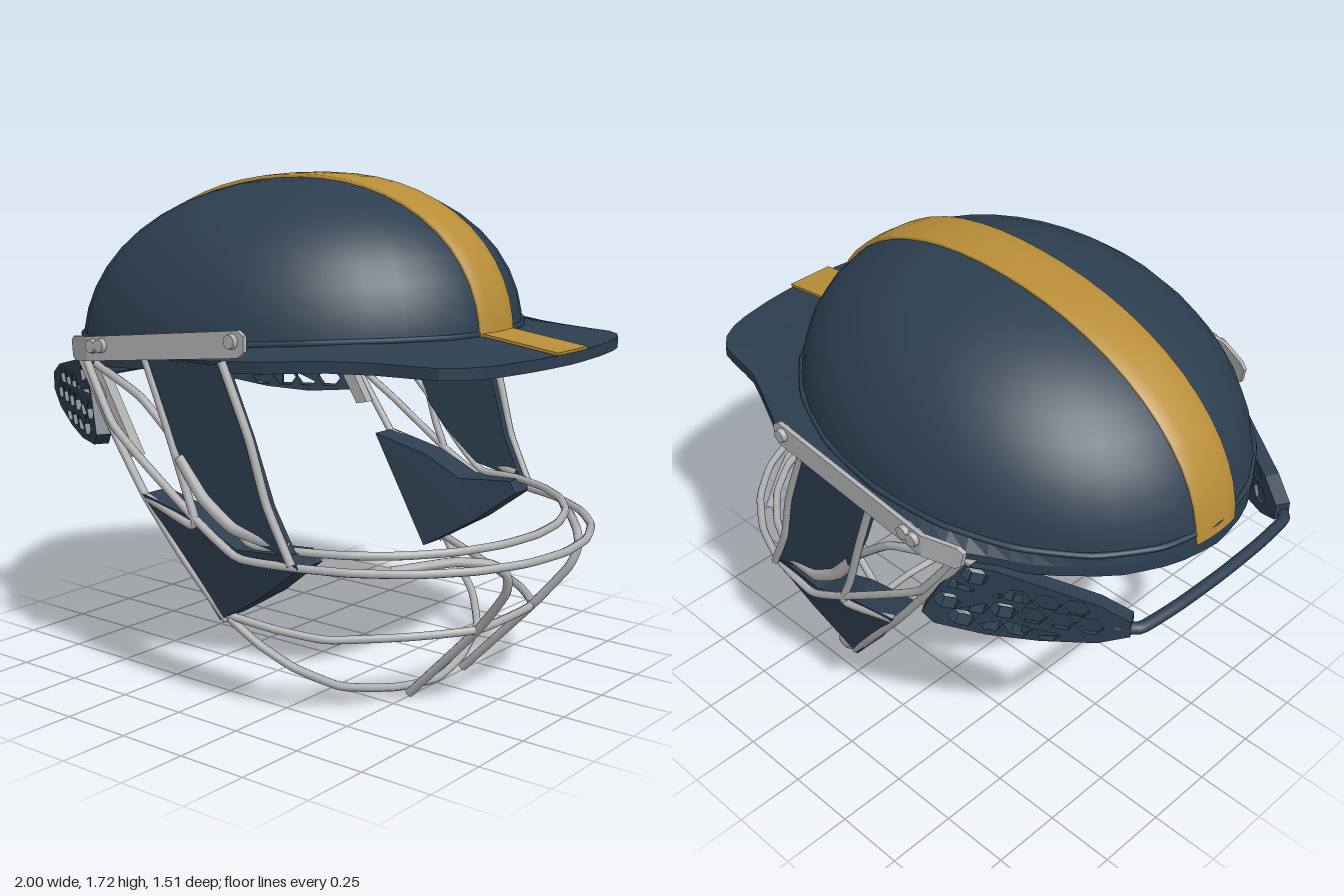
import * as THREE from 'three';

const mat = (name, color, side = THREE.FrontSide) => {
  const m = new THREE.MeshStandardMaterial({ color, side });
  m.name = name;
  return m;
};

export function createModel() {
  const root = new THREE.Group();
  root.name = 'cricketHelmet';
  const navy = mat('navy', 0x2c3e50, THREE.DoubleSide);
  const gold = mat('gold', 0xb78d37, THREE.DoubleSide);
  const steel = mat('steel', 0xb0b0b0);

  const add = (name, geo, material) => {
    const mesh = new THREE.Mesh(geo, material);
    mesh.name = name;
    root.add(mesh);
  };
  // Adds a part on the +z side and its reflection on the -z side
  const addPair = (name, geo, material) => {
    add(name + 'Left', geo, material);
    const g = geo.index ? geo.toNonIndexed() : geo.clone();
    g.scale(1, 1, -1);
    for (const key of ['position', 'normal']) {
      const a = g.attributes[key];
      for (let i = 0; i < a.count; i += 3) {
        const b = [a.getX(i + 1), a.getY(i + 1), a.getZ(i + 1)];
        a.setXYZ(i + 1, a.getX(i + 2), a.getY(i + 2), a.getZ(i + 2));
        a.setXYZ(i + 2, ...b);
      }
    }
    add(name + 'Right', g, material);
  };
  const bend = (geo, rule) => {
    const p = geo.attributes.position;
    for (let i = 0; i < p.count; i++) p.setXYZ(i, ...rule(p.getX(i), p.getY(i), p.getZ(i)));
    geo.computeVertexNormals();
    return geo;
  };
  const shapeOf = pts => new THREE.Shape(pts.map(p => new THREE.Vector2(...p)));
  const extrude = (shape, depth) => new THREE.ExtrudeGeometry(shape, { depth, bevelEnabled: false });
  const curve = (pts, closed) => new THREE.CatmullRomCurve3(pts.map(p => new THREE.Vector3(...p)), closed, 'catmullrom', 0.25);
  const tube = (pts, r = 0.014, closed = false) => new THREE.TubeGeometry(curve(pts, closed), pts.length * 7, r, 8, closed);
  const mirrored = pts => [...pts, ...pts.filter(p => p[2] !== 0).reverse().map(([x, y, z]) => [x, y, -z])];

  // Shell: slightly squared half ellipsoid on a tilted base line
  const brimTop = x => Math.min(1.2, 1.1 + 0.07 * (x + 0.95));
  const CX = -0.115, A = 0.83, B = 0.67, H = 0.575, N = 2.15;
  const domePoint = (X, Y, Z, grow) => {
    const k = (Math.hypot(X, Z) ** N + Math.abs(Y) ** N) ** (-1 / N);
    const x = CX + (A + grow) * k * X;
    return [x, 1.08 + 0.07 * (x + 0.95) + (H + grow) * k * Y, (B + grow) * k * Z];
  };
  const dome = grow => bend(new THREE.SphereGeometry(1, 36, 12, 0, Math.PI * 2, 0, Math.PI / 2),
    (X, Y, Z) => domePoint(X, Y, Z, grow));
  add('shell', dome(0), navy);
  add('liner', dome(-0.055), navy);

  // Brim and peak: a ring of cross-sections from the inner ledge, round the edge, up to the shell
  const outline = curve(mirrored([[0.99, 0, 0], [0.975, 0, 0.2], [0.94, 0, 0.38], [0.89, 0, 0.47], [0.83, 0, 0.515],
    [0.64, 0, 0.55], [0.46, 0, 0.63], [0.3, 0, 0.695], [0, 0, 0.705], [-0.42, 0, 0.68], [-0.5, 0, 0.63],
    [-0.68, 0, 0.51], [-0.84, 0, 0.34], [-0.925, 0, 0.17], [-0.955, 0, 0]]), true);
  const section = [[0.83, 0.04], [0.9, -0.03], [null, -0.037], [null, 0], [1, 0.035], [0.96, 0.035]];
  const ring = new THREE.PlaneGeometry(1, 1, 80, section.length - 1).toNonIndexed();
  add('brimAndPeak', bend(ring, (u, v) => {
    const [scale, dy] = section[Math.round((v + 0.5) * (section.length - 1))];
    const p = outline.getPointAt((u + 0.5) % 1);
    if (scale) {
      const a = Math.atan2(p.z / B, (p.x - CX) / A);
      p.set(CX + A * scale * Math.cos(a), 0, B * scale * Math.sin(a));
    }
    return [p.x, brimTop(p.x) + dy, p.z];
  }), navy);

  // Fine bead where the shell meets the brim
  const bead = [];
  for (let i = 0; i < 20; i++) {
    const a = i / 20 * Math.PI * 2, x = CX + A * Math.cos(a);
    bead.push([x, brimTop(x) + 0.04, B * Math.sin(a)]);
  }
  add('shellBead', tube(bead, 0.01, true), navy);

  // Stripe over the shell with its edges folded down, then along the sloping peak
  add('shellStripe', bend(new THREE.PlaneGeometry(1, 1, 28, 6), (u, v) => {
    const a = Math.PI * (0.985 - 0.975 * (u + 0.5));
    const z = THREE.MathUtils.clamp(v * 1.5, -0.5, 0.5) * 0.18 / B;
    const k = Math.sqrt(1 - z * z);
    return domePoint(k * Math.cos(a), k * Math.sin(a), z, Math.abs(v) > 0.49 ? 0 : 0.012);
  }), gold);
  const peakStripe = new THREE.BoxGeometry(0.28, 0.009, 0.18);
  peakStripe.rotateZ(-0.126);
  peakStripe.translate(0.852, 1.223, 0);
  add('peakStripe', peakStripe, gold);

  // Side mounting plates, turned in at the rear, with screws
  const plate = extrude(shapeOf([[-0.4, 1.208], [0.26, 1.285], [0.285, 1.27], [0.285, 1.22], [0.26, 1.2], [-0.4, 1.127]]), 0.016);
  plate.translate(0, 0, 0.722);
  addPair('mountingPlate', plate, steel);
  const plateEnd = extrude(shapeOf([[-0.53, 1.18], [-0.51, 1.196], [-0.4, 1.208], [-0.4, 1.127], [-0.5, 1.115], [-0.52, 1.125]]), 0.016);
  addPair('mountingPlateEnd', bend(plateEnd, (x, y, z) => [x, y, z + 0.722 + 0.4 * (x + 0.4)]), steel);
  for (const [x, y] of [[-0.37, 1.18], [-0.33, 1.185], [0.24, 1.25]]) {
    const screw = new THREE.CylinderGeometry(0.022, 0.028, 0.04, 10);
    screw.rotateX(Math.PI / 2);
    screw.translate(x, y, 0.735);
    addPair('screw', screw, steel);
  }

  // Cheek pads, leaning inward toward the bottom
  const sideZ = y => y > 0.6 ? 0.69 + (y - 0.6) * 0.06 : 0.69 - (0.6 - y) * 0.2;
  const pad = (pts, depth) => bend(extrude(shapeOf(pts), depth), (x, y, z) => [x, y, sideZ(y) - depth + z]);
  addPair('upperCheekPad', pad([[-0.15, 1.16], [-0.07, 0.96], [0.0, 0.82], [0.1, 0.72], [0.22, 0.63],
    [0.42, 0.59], [0.34, 0.74], [0.27, 0.95], [0.18, 1.17]], 0.04), navy);
  addPair('lowerCheekPad', pad([[-0.2, 0.7], [0.08, 0.31], [0.28, 0.43], [0.45, 0.56], [0.42, 0.6],
    [0.2, 0.58], [0.04, 0.65]], 0.12), navy);

  // Two horizontal face bars, sweeping back up to the plates
  const bar = (back, cx, a, b, y) => {
    const pts = [...back];
    for (let i = 0; i <= 6; i++) {
      const t = Math.PI / 2 * (1 - i / 6);
      pts.push([cx + a * Math.cos(t), y, i === 6 ? 0 : b * Math.sin(t)]);
    }
    return tube(mirrored(pts));
  };
  add('outerFaceBar', bar([[-0.48, 1.12, 0.67], [-0.34, 0.92, 0.69], [-0.2, 0.82, 0.7], [0.05, 0.65, 0.7]], 0.22, 0.765, 0.7, 0.56), steel);
  add('innerFaceBar', bar([[-0.42, 1.11, 0.68], [-0.2, 1.02, 0.69], [-0.02, 0.86, 0.68], [0.12, 0.7, 0.67]], 0.24, 0.64, 0.66, 0.6), steel);

  // Chin bars
  add('middleChinBar', tube(mirrored([[0.1, 0.33, 0.62], [0.26, 0.3, 0.57], [0.42, 0.28, 0.5],
    [0.62, 0.29, 0.34], [0.77, 0.3, 0.16]])), steel);
  add('lowerChinBar', tube(mirrored([[0.11, 0.32, 0.62], [0.2, 0.24, 0.58], [0.3, 0.165, 0.52],
    [0.4, 0.09, 0.4], [0.47, 0.045, 0.2], [0.5, 0.025, 0]])), steel);
  addPair('verticalBar', tube([[0.5, 0.02, 0.16], [0.77, 0.3, 0.165], [0.89, 0.45, 0.195], [0.91, 0.52, 0.22],
    [0.88, 0.56, 0.26], [0.8, 0.575, 0.36], [0.68, 0.56, 0.52]], 0.015), steel);

  // Bars framing the cheek pads
  const frames = [
    [[-0.5, 1.12, 0.67], [-0.35, 0.9, 0.68], [-0.2, 0.69, 0.68], [-0.05, 0.5, 0.66], [0.1, 0.31, 0.62]],
    [[0.18, 1.18, 0.72], [0.28, 0.95, 0.71], [0.34, 0.75, 0.7], [0.43, 0.57, 0.69]],
    [[-0.15, 1.16, 0.72], [-0.07, 0.95, 0.71], [0, 0.75, 0.7], [0.04, 0.63, 0.7], [-0.2, 0.69, 0.68]],
  ];
  for (const f of frames) addPair('sideFrameBar', tube(f, 0.014), steel);
  addPair('cheekEdgeBand', tube([[-0.02, 0.85, 0.7], [0.08, 0.73, 0.7], [0.2, 0.65, 0.69], [0.4, 0.61, 0.66]], 0.022), steel);

  // Rear strap plate that carries the neck guard
  const strap = extrude(shapeOf([[-0.52, 1.11], [-0.45, 1.11], [-0.27, 0.81], [-0.32, 0.8]]), 0.04);
  strap.translate(0, 0, 0.61);
  addPair('guardStrap', strap, steel);

  // Neck guards: honeycomb frame, backed by a solid core toward the rear
  const placeGuard = (geo, offset) => {
    geo.translate(0, 0, offset);
    geo.rotateY(-0.52);
    geo.translate(-0.92, 0, 0.345);
    return geo;
  };
  const guard = shapeOf([[0, 0.93], [0.1, 0.88], [0.28, 0.845], [0.45, 0.83], [0.62, 0.84], [0.66, 0.88],
    [0.6, 1.0], [0.53, 1.1], [0.42, 1.1], [0.1, 1.035], [0, 0.99]]);
  for (let row = 0; row < 4; row++) for (let col = 0; col < 7; col++) {
    const cx = 0.08 + col * 0.09 + (row % 2) * 0.045, cy = 0.885 + row * 0.06;
    const low = 0.93 - 0.13 * Math.min(1, cx / 0.3) + 0.035;
    const high = Math.min(1.03 + cx * 0.18, 1.1 - (cx - 0.53) * 1.7);
    if (cy - 0.04 < low - 0.025 || cy + 0.04 > high || cx > 0.6) continue;
    const hex = [];
    for (let i = 0; i < 6; i++) {
      const a = -i * Math.PI / 3;
      hex.push(new THREE.Vector2(cx + 0.045 * Math.cos(a), cy + 0.036 * Math.sin(a)));
    }
    guard.holes.push(new THREE.Path(hex));
  }
  addPair('neckGuard', placeGuard(extrude(guard, 0.05), 0.012), navy);
  const core = extrude(shapeOf([[0.02, 0.93], [0.1, 0.89], [0.34, 0.845], [0.34, 1.07], [0.1, 1.02]]), 0.025);
  addPair('neckGuardCore', placeGuard(core, 0.024), navy);

  // Tube joining the guards behind the neck
  add('rearTube', tube(mirrored([[-0.9, 0.95, 0.41], [-0.96, 0.95, 0.36], [-0.98, 0.955, 0.2], [-0.985, 0.955, 0]]), 0.02), navy);

  // Fit dial and the curved band it tightens
  const dial = new THREE.CylinderGeometry(0.045, 0.045, 0.12, 14);
  dial.rotateZ(Math.PI / 2);
  dial.translate(-0.72, 1.08, 0);
  add('fitDial', dial, navy);
  const band = new THREE.CylinderGeometry(0.35, 0.2, 0.08, 16, 1, true, Math.PI, Math.PI);
  band.scale(0.6, 1, 1);
  band.translate(-0.6, 1.09, 0);
  add('fitBand', band, navy);

  return root;
}
